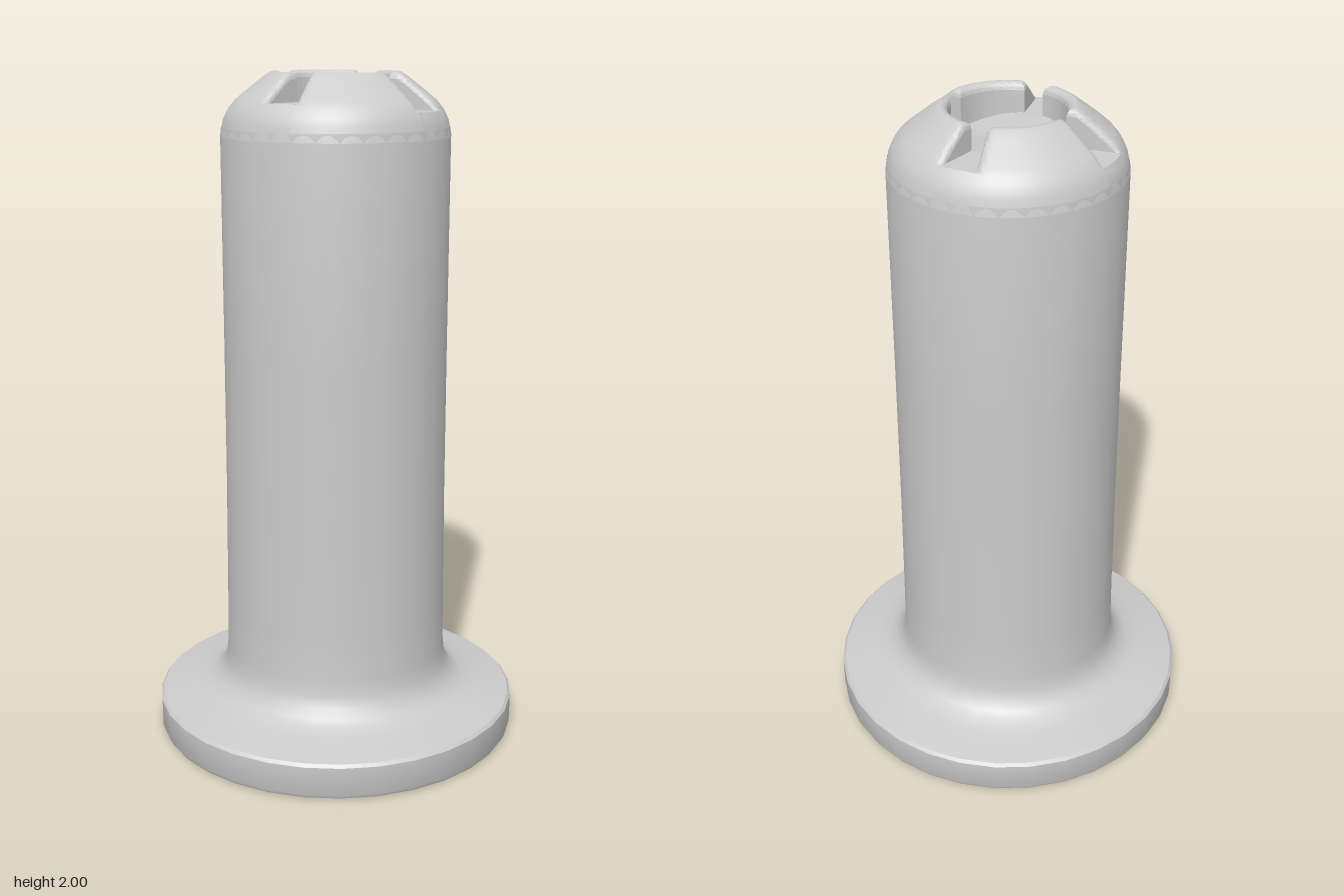
import * as THREE from 'three';
import { toCreasedNormals } from 'three/addons/utils/BufferGeometryUtils.js';

const HOLE = 0.16, RIM = 0.333; // radii of the central recess and of the barrel
const HALF = 0.172;             // half angle of each slot
const LIP = 0.02;               // rounding of the recess edges
const DOME = [[0.16, 2], [0.186, 2], [0.205, 1.988], [0.26, 1.945], [0.29, 1.92],
  [0.31, 1.895], [0.322, 1.872], [0.33, 1.845], [RIM, 1.82]];

// height of the uncut dome at radius r
function domeY(r) {
  for (let i = 1; i < DOME.length; i++) {
    const [r0, y0] = DOME[i - 1], [r1, y1] = DOME[i];
    if (r <= r1 + 1e-6) return y0 + (y1 - y0) * Math.max(0, (r - r0) / (r1 - r0));
  }
  return DOME[DOME.length - 1][1];
}

// floor of the recess, a little deeper in the side slots
const floorY = (r, a) => 1.907 + 0.0125 * Math.cos(2 * a) * Math.min(1, r / HOLE);
const cutY = (r, a) => Math.min(domeY(r), floorY(r, a));

// dome surface with rounded lips towards the recess; e is the angle to the nearest slot edge
function lipY(r, a, e) {
  const d = Math.min(r - HOLE, r * Math.sin(Math.min(e, 1)));
  const k = Math.max(0, LIP - d);
  const drop = LIP - Math.sqrt(Math.max(0, LIP * LIP - k * k));
  return Math.max(cutY(r, a), domeY(r) - drop);
}

// surface from a grid of polar points [radius, angle, height]
function polarGrid(nu, nv, fn) {
  const pos = [], idx = [];
  for (let j = 0; j <= nv; j++) for (let i = 0; i <= nu; i++) {
    const [r, a, y] = fn(i / nu, j / nv);
    pos.push(r * Math.sin(a), y, r * Math.cos(a));
    if (i < nu && j < nv) {
      const p = j * (nu + 1) + i, q = p + nu + 1;
      idx.push(p, p + 1, q, p + 1, q + 1, q);
    }
  }
  const g = new THREE.BufferGeometry();
  g.setAttribute('position', new THREE.Float32BufferAttribute(pos, 3));
  g.setIndex(idx);
  return toCreasedNormals(g, 0.6);
}

export function createModel() {
  const group = new THREE.Group();
  const mat = new THREE.MeshStandardMaterial({ color: 0xcccccc, side: THREE.DoubleSide });
  const add = (name, geometry) => {
    const m = new THREE.Mesh(geometry, mat);
    m.name = name;
    group.add(m);
  };

  // hollow barrel flaring into a thin round flange, open below
  const profile = [[0.535, 0], [0.546, 0.003], [0.552, 0.014], [0.553, 0.1], [0.545, 0.109],
    [0.5, 0.119], [0.44, 0.131], [0.4, 0.143], [0.375, 0.16], [0.355, 0.185], [0.344, 0.215],
    [0.339, 0.26], [0.337, 0.4], [0.334, 0.76], [RIM, 1.2], [RIM, 1.82], [0.33, 1.845]]
    .map(p => new THREE.Vector2(...p));
  add('barrelAndFlange', toCreasedNormals(new THREE.LatheGeometry(profile, 32), 0.6));

  // floor of the central recess
  add('recessFloor', polarGrid(48, 6, (u, v) => {
    const r = HOLE * (1 - v), a = u * Math.PI * 2;
    return [r, a, floorY(r, a)];
  }));

  const ease = u => 0.5 - 0.5 * Math.cos(Math.PI * u);
  const radius = v => HOLE + (RIM - HOLE) * (1 - v) ** 1.6;
  const span = Math.PI / 2 - 2 * HALF;
  for (let k = 0; k < 4; k++) {
    const mid = k * Math.PI / 2, start = mid + HALF;

    // slot floor, running out through the dome
    add('slotFloor', polarGrid(6, 48, (u, v) => {
      const r = radius(v), a = mid + HALF * (2 * u - 1);
      return [r, a, cutY(r, a)];
    }));

    // raised dome segment between two slots
    add('domeSegment', polarGrid(36, 32, (u, v) => {
      const r = radius(v), t = ease(u) * span, a = start + t;
      return [r, a, lipY(r, a, Math.min(t, span - t))];
    }));

    // curved wall of the central recess
    add('recessWall', polarGrid(36, 1, (u, v) => {
      const t = ease(1 - u) * span, a = start + t;
      return [HOLE, a, v ? lipY(HOLE, a, Math.min(t, span - t)) : floorY(HOLE, a)];
    }));

    // two side walls of the slot
    for (const s of [-1, 1]) add('slotWall', polarGrid(32, 1, (u, v) => {
      const r = radius(s > 0 ? 1 - u : u), a = mid + s * HALF;
      return [r, a, v ? lipY(r, a, 0) : cutY(r, a)];
    }));
  }
  return group;
}
